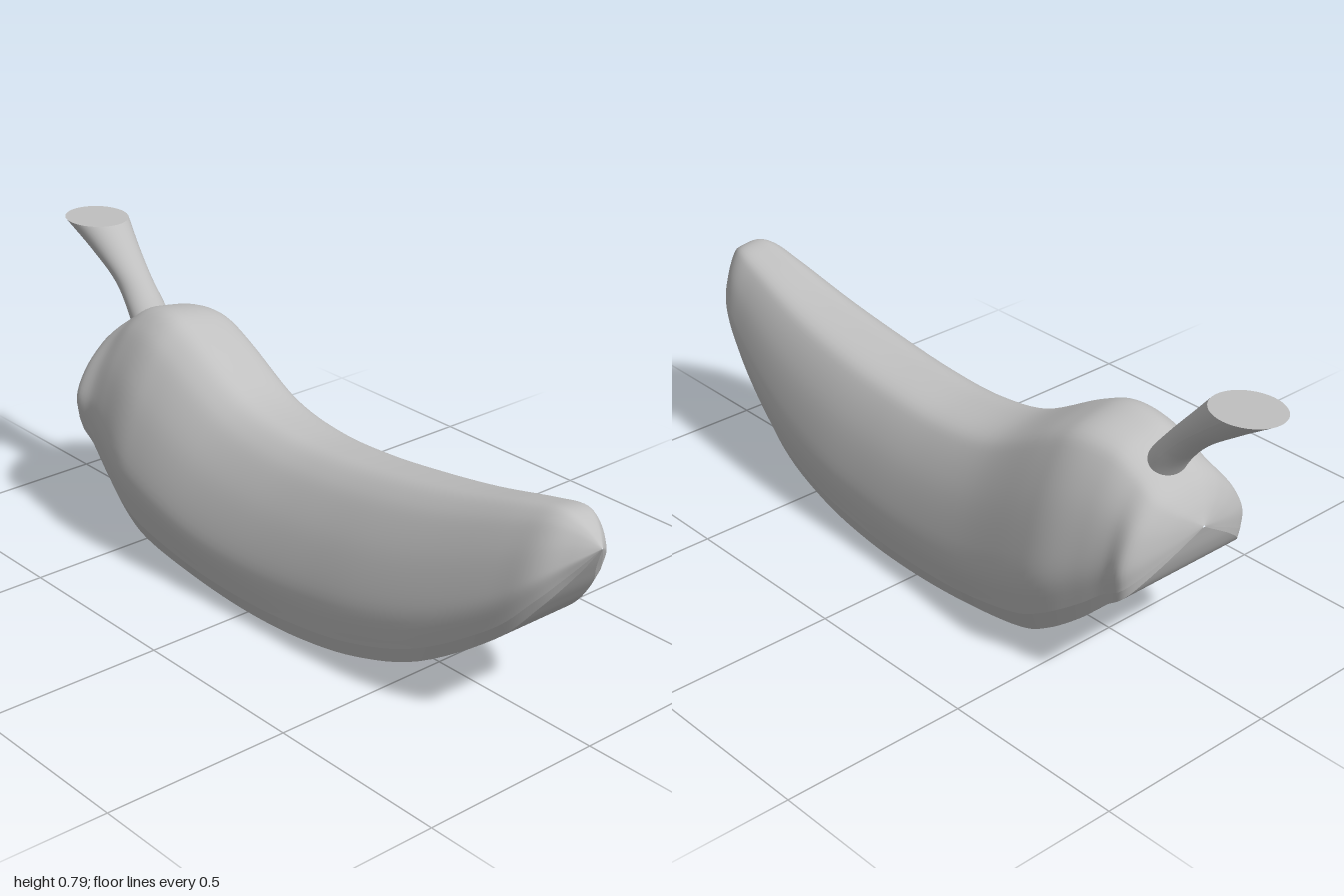
import * as THREE from 'three';

// Body stations: z, underside y, top y, half width, half width of flat underside
const STATIONS = [
  [1, 0.51, 0.512, 0.002, 0.001], [0.96, 0.44, 0.55, 0.06, 0.03], [0.9, 0.35, 0.575, 0.118, 0.085],
  [0.8, 0.24, 0.558, 0.15, 0.12], [0.6, 0.11, 0.51, 0.19, 0.165], [0.4, 0.042, 0.475, 0.213, 0.187],
  [0.2, 0.01, 0.451, 0.222, 0.197], [0, 0.001, 0.445, 0.231, 0.2], [-0.2, 0.013, 0.48, 0.242, 0.202],
  [-0.4, 0.05, 0.588, 0.252, 0.21], [-0.5, 0.097, 0.627, 0.248, 0.21], [-0.6, 0.172, 0.617, 0.222, 0.2],
  [-0.67, 0.24, 0.575, 0.205, 0.195], [-0.73, 0.288, 0.53, 0.203, 0.19], [-0.765, 0.35, 0.485, 0.13, 0.12],
  [-0.79, 0.428, 0.432, 0.004, 0.002],
];

// Slightly lopsided upper cross-section: x in half widths, y in heights
const SECTION = [
  [-1, 0.28], [-0.95, 0.44], [-0.79, 0.66], [-0.58, 0.84], [-0.4, 0.94], [-0.18, 1],
  [0.1, 0.99], [0.44, 0.95], [0.62, 0.86], [0.81, 0.68], [0.94, 0.47], [1, 0.28],
];

// Skin a list of equally long point rings
function loft(rings) {
  const n = rings[0].length;
  const index = [];
  for (let j = 0; j < rings.length - 1; j++) {
    for (let i = 0; i < n - 1; i++) {
      const a = j * n + i, b = a + 1, c = a + n, d = c + 1;
      index.push(a, b, c, b, d, c);
    }
  }
  const geometry = new THREE.BufferGeometry().setFromPoints(rings.flat());
  geometry.setIndex(index);
  geometry.computeVertexNormals();
  return geometry;
}

const spline = (points) => new THREE.CatmullRomCurve3(points, false, 'catmullrom', 0.5);
const V = (x, y, z) => new THREE.Vector3(x, y, z);

export function createModel() {
  const group = new THREE.Group();
  const skin = new THREE.MeshStandardMaterial({ color: 0xc0c0c0 });
  skin.name = 'plain grey';
  const add = (name, geometry) => {
    const mesh = new THREE.Mesh(geometry, skin);
    mesh.name = name;
    group.add(mesh);
  };

  // Smooth the stations along the length
  const heights = spline(STATIONS.map((s) => V(s[0], s[1], s[2])));
  const widths = spline(STATIONS.map((s) => V(s[0], s[3], s[4])));
  const upper = [], leftBand = [], rightBand = [], under = [];
  const steps = (STATIONS.length - 1) * 6;
  for (let k = 0; k <= steps; k++) {
    const h = heights.getPoint(k / steps), w = widths.getPoint(k / steps);
    const z = h.x, low = h.y, tall = h.z - h.y, half = w.y, edge = w.z;
    const bandX = edge + (half - edge) * 0.6, bandY = low + tall * 0.1;
    const profile = [
      V(-bandX, bandY, z),
      ...SECTION.map(([x, y]) => V(x * half, low + y * tall, z)),
      V(bandX, bandY, z),
    ];
    upper.push(spline(profile).getPoints(52));
    rightBand.push([V(-edge, low, z), V(-bandX, bandY, z)]);
    leftBand.push([V(bandX, bandY, z), V(edge, low, z)]);
    under.push([V(edge, low, z), V(0, low, z), V(-edge, low, z)]);
  }
  add('upperBody', loft(upper));
  add('leftLowerBand', loft(leftBand));
  add('rightLowerBand', loft(rightBand));
  add('underside', loft(under));

  // Leaning, flared stem: y, centre z, half width x, half depth z
  const stem = [
    [0.5, -0.64, 0.06, 0.05], [0.58, -0.685, 0.054, 0.051], [0.65, -0.744, 0.05, 0.055],
    [0.72, -0.824, 0.063, 0.073], [0.787, -0.905, 0.083, 0.095],
  ];
  const path = spline(stem.map((s) => V(0, s[0], s[1])));
  const radii = spline(stem.map((s) => V(s[2], s[3], 0)));
  const stemRings = [];
  for (let k = 0; k <= 24; k++) {
    const p = path.getPoint(k / 24), r = radii.getPoint(k / 24);
    const ring = [];
    for (let i = 0; i <= 40; i++) {
      const a = (i / 40) * Math.PI * 2;
      ring.push(V(0.01 + Math.cos(a) * r.x, p.y, p.z - Math.sin(a) * r.y));
    }
    stemRings.push(ring);
  }
  add('stem', loft(stemRings));

  // Flat cut end of the stem
  const rim = stemRings[24];
  add('stemEnd', loft([rim, rim.map(() => V(0.01, 0.787, -0.905))]));
  return group;
}
